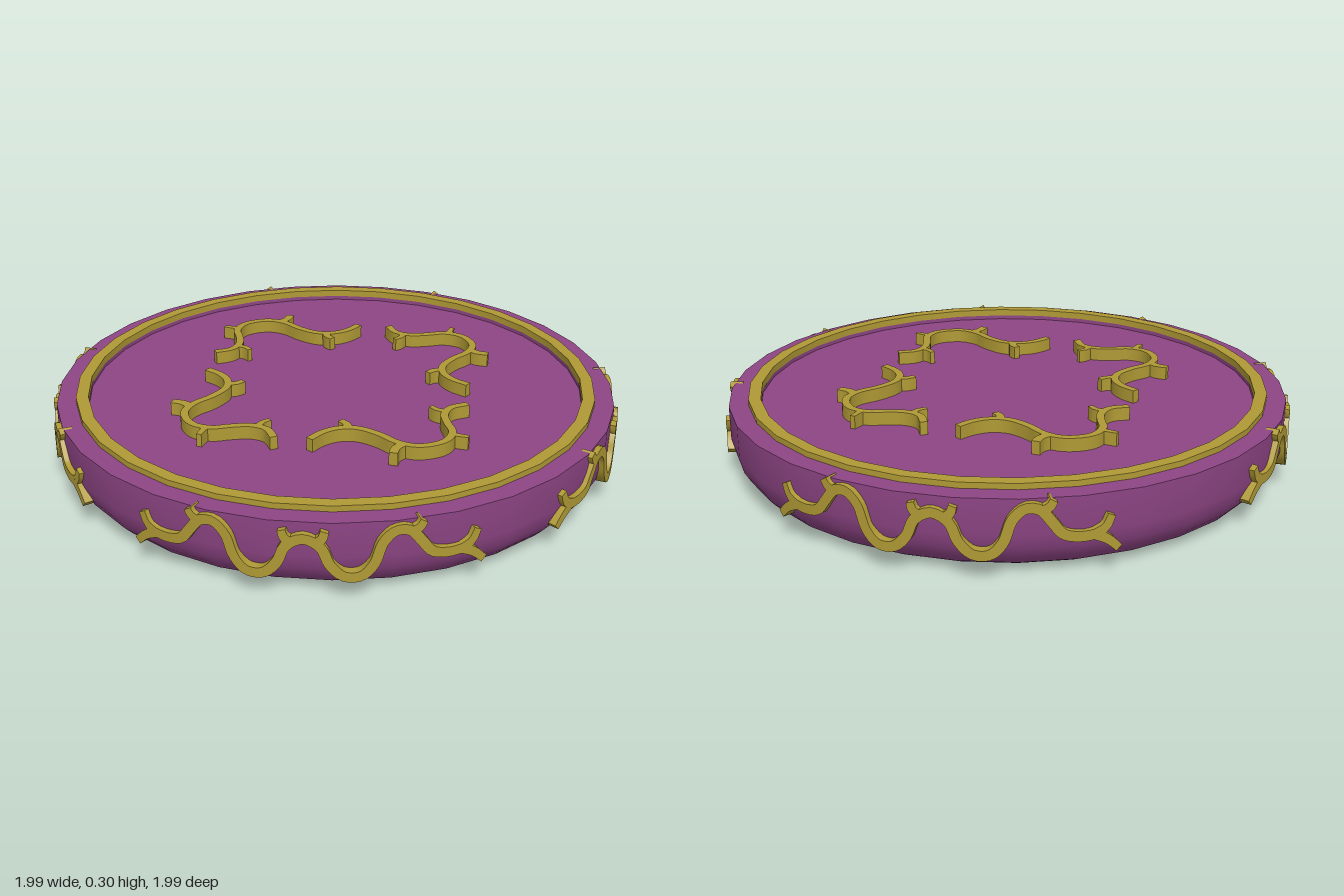
import * as THREE from 'three';
import { mergeGeometries, toCreasedNormals } from 'three/addons/utils/BufferGeometryUtils.js';

const plum = new THREE.MeshStandardMaterial({ color: 0x8e4585 });
const gold = new THREE.MeshStandardMaterial({ color: 0xb09a35 });
const SIDES = 32;

function turned(profile, material, name) {
  const pts = profile.map(([r, y]) => new THREE.Vector2(r, y));
  const mesh = new THREE.Mesh(toCreasedNormals(new THREE.LatheGeometry(pts, SIDES), 0.5), material);
  mesh.name = name;
  return mesh;
}

// Square-edged strip following a flat curve, raised along z from 0 to depth
function strip(points, startWidth, endWidth, depth, steps) {
  const curve = new THREE.CatmullRomCurve3(points.map(([x, y]) => new THREE.Vector3(x, y, 0)));
  const geo = new THREE.BoxGeometry(1, 1, 1, steps, 1, 1);
  const pos = geo.attributes.position;
  for (let i = 0; i < pos.count; i++) {
    const t = THREE.MathUtils.clamp(pos.getX(i) + 0.5, 0, 1);
    const p = curve.getPointAt(t), d = curve.getTangentAt(t);
    const off = pos.getY(i) * THREE.MathUtils.lerp(startWidth, endWidth, t);
    pos.setXYZ(i, p.x - d.y * off, p.y + d.x * off, (pos.getZ(i) + 0.5) * depth);
  }
  geo.computeVertexNormals();
  return geo;
}

// Wavy vine with forked ends, wrapped around the side wall
function sideVineGeometry() {
  const arc = ([deg, y]) => [THREE.MathUtils.degToRad(deg), y];
  const half = [[-29, 0.15], [-25.5, 0.145], [-22.5, 0.158], [-20.5, 0.2], [-18.5, 0.24], [-16, 0.245],
    [-13.8, 0.21], [-12.2, 0.135], [-10, 0.095], [-7, 0.095], [-4.6, 0.135], [-3, 0.195]];
  const mirror = list => list.map(([a, y]) => [-a, y]);
  const path = [...half, [0, 0.222], ...mirror(half).reverse()];
  const spurs = [
    [[-28, 0.148], [-30.5, 0.125], [-32.5, 0.092]],
    [[-28, 0.148], [-30, 0.168], [-31, 0.205]],
    [[-18.8, 0.235], [-20.2, 0.25], [-20.8, 0.268]],
    [[-2.2, 0.208], [-3.3, 0.225], [-3.7, 0.248]],
  ];
  const parts = [strip(path.map(arc), 0.034, 0.034, 0.045, 90)];
  for (const s of spurs)
    for (const line of [s, mirror(s)]) parts.push(strip(line.map(arc), 0.034, 0.026, 0.045, 5));
  const geo = mergeGeometries(parts);
  const pos = geo.attributes.position;
  for (let i = 0; i < pos.count; i++) {
    const a = pos.getX(i), r = 0.955 + pos.getZ(i);
    pos.setXYZ(i, r * Math.cos(-a), pos.getY(i), r * Math.sin(-a));
  }
  // Normals turn with the wall
  const n = geo.attributes.normal;
  for (let i = 0; i < n.count; i++) {
    const a = -Math.atan2(pos.getZ(i), pos.getX(i));
    const u = n.getX(i), w = n.getZ(i);
    n.setXYZ(i, w * Math.cos(a) - u * Math.sin(a), n.getY(i), -w * Math.sin(a) - u * Math.cos(a));
  }
  return geo;
}

// Winding vine with short twigs, lying on the top face
function topVineGeometry() {
  const path = [[-0.255, 0.43], [-0.19, 0.42], [-0.14, 0.45], [-0.107, 0.51], [-0.085, 0.565], [-0.038, 0.603],
    [0.015, 0.608], [0.075, 0.585], [0.113, 0.53], [0.13, 0.45], [0.165, 0.375], [0.22, 0.34], [0.28, 0.337], [0.34, 0.355]];
  const twigs = [
    [[-0.155, 0.43], [-0.14, 0.405], [-0.138, 0.375], 0.024, 0.018],
    [[-0.07, 0.58], [-0.085, 0.602], [-0.105, 0.627], 0.024, 0.018],
    [[0.1, 0.55], [0.14, 0.56], [0.168, 0.585], 0.034, 0.03],
    [[0.19, 0.355], [0.177, 0.33], [0.18, 0.297], 0.03, 0.024],
  ];
  const parts = [strip(path, 0.027, 0.027, 0.047, 60)];
  for (const [a, b, c, w0, w1] of twigs) parts.push(strip([a, b, c], w0, w1, 0.047, 4));
  return mergeGeometries(parts).rotateX(-Math.PI / 2);
}

export function createModel() {
  const model = new THREE.Group();
  model.name = 'ornateDisc';

  // Rounded dish with a shallow recessed top
  model.add(turned([[0, 0], [0.84, 0], [0.88, 0.008], [0.92, 0.03], [0.95, 0.062], [0.972, 0.1], [0.985, 0.15],
    [0.985, 0.27], [0.876, 0.27], [0.876, 0.25], [0, 0.25]], plum, 'body'));

  // Raised gold band around the recess
  model.add(turned([[0.918, 0.265], [0.918, 0.29], [0.875, 0.29], [0.875, 0.265]], gold, 'rimBand'));

  // Four vines around the wall
  const sideGeo = sideVineGeometry();
  for (const deg of [46, 128.7, 211, 307.5]) {
    const vine = new THREE.Mesh(sideGeo, gold);
    vine.name = 'sideVine';
    vine.rotation.y = -THREE.MathUtils.degToRad(deg);
    model.add(vine);
  }

  // Four vines on the top, a quarter turn apart
  const topGeo = topVineGeometry();
  [0, -0.025, 0.01, 0.035].forEach((dz, i) => {
    const vine = new THREE.Mesh(topGeo, gold);
    vine.name = 'topVine';
    vine.rotation.y = -i * Math.PI / 2;
    vine.position.set(0, 0.249, dz);
    model.add(vine);
  });

  for (const part of model.children) {
    part.position.x += 0.003;
    part.position.z += 0.004;
  }
  return model;
}
